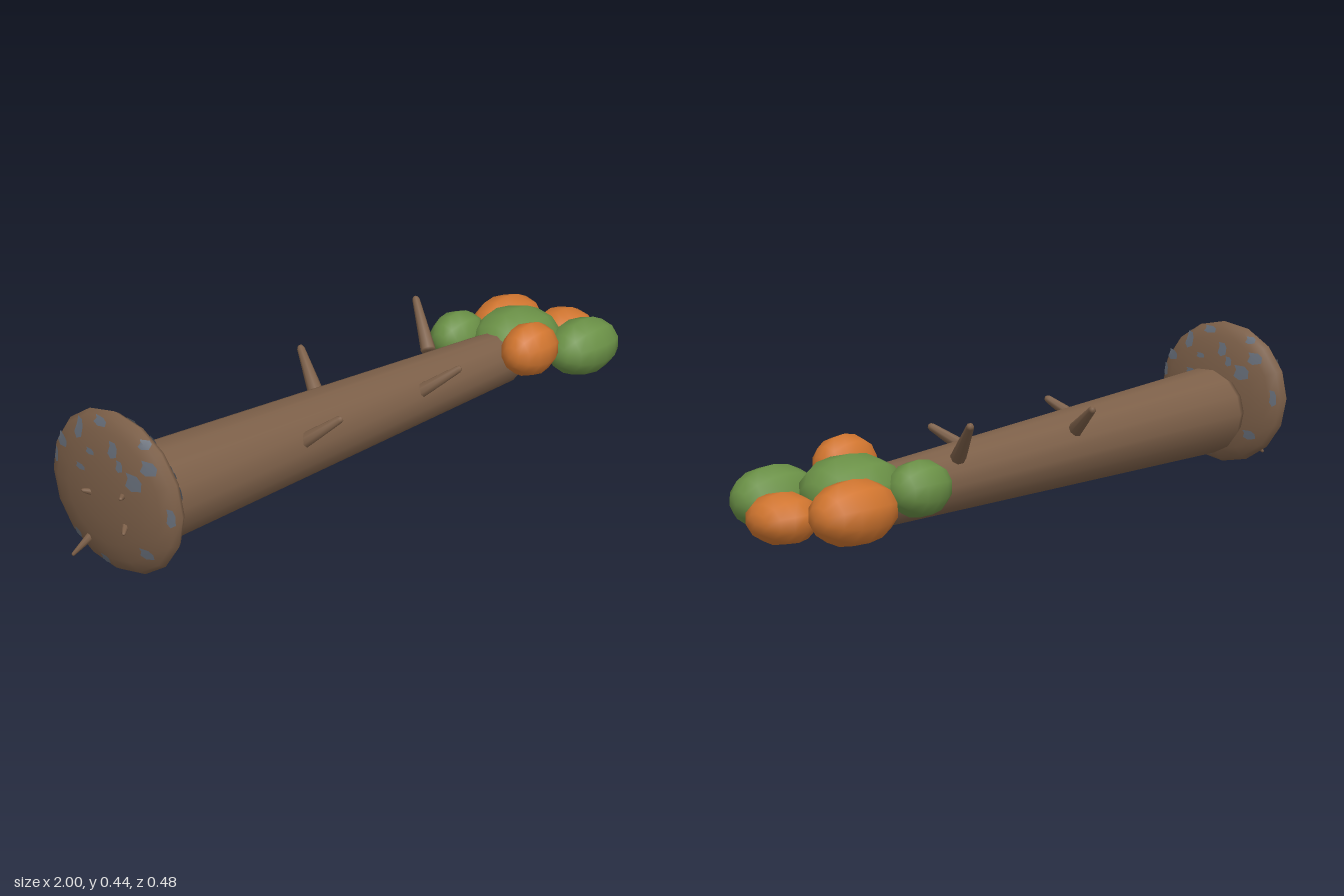
import * as THREE from 'three';

const mat = (name, color, side = THREE.FrontSide) => {
  const m = new THREE.MeshStandardMaterial({ color, side });
  m.name = name;
  return m;
};

export function createModel() {
  const bark = mat('bark brown', 0x7d6049);
  const green = mat('leaf green', 0x6a9046);
  const orange = mat('autumn orange', 0xd0752f);
  const stone = mat('soil grey blue', 0x666d78, THREE.DoubleSide);

  const model = new THREE.Group();
  model.name = 'fallenTree';

  const add = (name, geometry, material, parent = model) => {
    const mesh = new THREE.Mesh(geometry, material);
    mesh.name = name;
    parent.add(mesh);
    return mesh;
  };

  // Squashed ball whose poles lie along the trunk
  const ball = (name, material, [x, y, z], [rx, ry, rz], segments, rings) => {
    const g = new THREE.SphereGeometry(1, segments, rings).rotateZ(Math.PI / 2);
    g.scale(rx, ry, rz);
    add(name, g, material).position.set(x, y, z);
  };

  // Aim a geometry built along +y from point a to point b
  const aim = (mesh, a, b) => {
    const dir = new THREE.Vector3().subVectors(b, a).normalize();
    mesh.quaternion.setFromUnitVectors(new THREE.Vector3(0, 1, 0), dir);
    mesh.position.copy(a);
  };

  // Tapered stub with a rounded tip
  const stub = (name, from, to, r0, r1, parent) => {
    const a = new THREE.Vector3(...from), b = new THREE.Vector3(...to);
    const len = a.distanceTo(b);
    const profile = [[0, 0], [r0, 0], [r1, len - r1], [r1 * 0.7, len - r1 * 0.3], [0, len]];
    const g = new THREE.LatheGeometry(profile.map(p => new THREE.Vector2(...p)), 8);
    aim(add(name, g, bark, parent), a, b);
  };

  // Trunk: long taper with bevelled ends, level along the ground
  const start = new THREE.Vector3(-0.83, 0.17, -0.01);
  const end = new THREE.Vector3(0.6, 0.12, -0.006);
  const L = start.distanceTo(end);
  const trunkProfile = [[0, -0.06], [0.11, -0.045], [0.131, 0], [0.08, L], [0.06, L + 0.06], [0, L + 0.07]];
  const trunk = add('trunk',
    new THREE.LatheGeometry(trunkProfile.map(p => new THREE.Vector2(...p)), 14), bark);
  aim(trunk, start, end);

  // Upturned root plate
  const C = [-0.925, 0.218, -0.006], R = [0.055, 0.218, 0.235];
  ball('rootPlate', bark, C, R, 16, 10);

  // Soil patches lying on both faces of the root plate: z, y, width, height
  const patches = [
    [0.03, 0.41, 0.045, 0.022], [0.105, 0.372, 0.032, 0.05], [0.175, 0.318, 0.05, 0.03],
    [0.05, 0.33, 0.03, 0.016], [-0.03, 0.355, 0.03, 0.042], [-0.057, 0.32, 0.022, 0.03],
    [-0.105, 0.29, 0.05, 0.045], [-0.145, 0.335, 0.045, 0.036], [-0.12, 0.388, 0.03, 0.022],
    [0.085, 0.28, 0.035, 0.016], [0.2, 0.27, 0.02, 0.04], [-0.21, 0.22, 0.02, 0.05],
    [0.03, 0.033, 0.03, 0.025], [0.13, 0.075, 0.03, 0.025], [-0.13, 0.1, 0.04, 0.03],
  ];
  const outline = [[-0.5, -0.35], [0.1, -0.5], [0.5, -0.25], [0.35, 0.2], [0.5, 0.5], [-0.2, 0.45], [-0.5, 0.15]];
  const soil = new THREE.Group();
  soil.name = 'soilPatches';
  model.add(soil);
  for (const side of [1, -1]) {
    for (const [z, y, w, h] of patches) {
      const onPlate = (pz, py) => {
        const u = (pz - C[2]) / R[2], v = (py - C[1]) / R[1];
        const bulge = Math.sqrt(Math.max(0, 1 - u * u - v * v));
        return [C[0] + side * (R[0] * bulge + 0.001), py, pz];
      };
      const pos = [...onPlate(z * side, y)], index = [];
      outline.forEach(([a, b], i) => {
        pos.push(...onPlate((z + a * w) * side, y + b * h));
        const j = 1 + (i + 1) % outline.length;
        index.push(0, j, i + 1);
      });
      const g = new THREE.BufferGeometry();
      g.setAttribute('position', new THREE.Float32BufferAttribute(pos, 3));
      g.setIndex(index);
      g.computeVertexNormals();
      add('soilPatch', g, stone, soil);
    }
  }

  // Short roots poking out of the back of the plate
  const roots = new THREE.Group();
  roots.name = 'roots';
  model.add(roots);
  for (const [y, z, ty, tz] of [
    [0.24, 0.05, 0.25, 0.085], [0.17, 0.055, 0.155, 0.09],
    [0.21, -0.04, 0.23, -0.06], [0.09, -0.075, 0.03, -0.11],
  ]) stub('root', [-0.95, y, z], [-0.997, ty, tz], 0.013, 0.005, roots);

  // Broken branches along the trunk
  const branches = new THREE.Group();
  branches.name = 'branches';
  model.add(branches);
  for (const [from, to] of [
    [[0.34, 0.2, -0.07], [0.425, 0.312, -0.195]],
    [[-0.125, 0.21, -0.08], [-0.055, 0.296, -0.207]],
    [[-0.35, 0.185, 0.08], [-0.285, 0.26, 0.168]],
    [[0.14, 0.165, 0.06], [0.22, 0.245, 0.155]],
  ]) stub('branch', from, to, 0.022, 0.011, branches);

  // Leaf clumps of the crown
  ball('crownCentre', green, [0.675, 0.155, -0.01], [0.145, 0.095, 0.13], 10, 8);
  ball('leafClumpFront', green, [0.8, 0.135, 0.146], [0.13, 0.085, 0.094], 10, 8);
  ball('leafClumpInnerBack', green, [0.565, 0.16, -0.145], [0.095, 0.076, 0.076], 10, 8);
  ball('leafClumpBack', orange, [0.8, 0.135, -0.145], [0.13, 0.085, 0.094], 10, 8);
  ball('leafClumpInnerFront', orange, [0.565, 0.19, 0.128], [0.097, 0.08, 0.076], 10, 8);
  ball('leafClumpTip', orange, [0.907, 0.118, -0.004], [0.093, 0.067, 0.096], 10, 8);

  return model;
}
